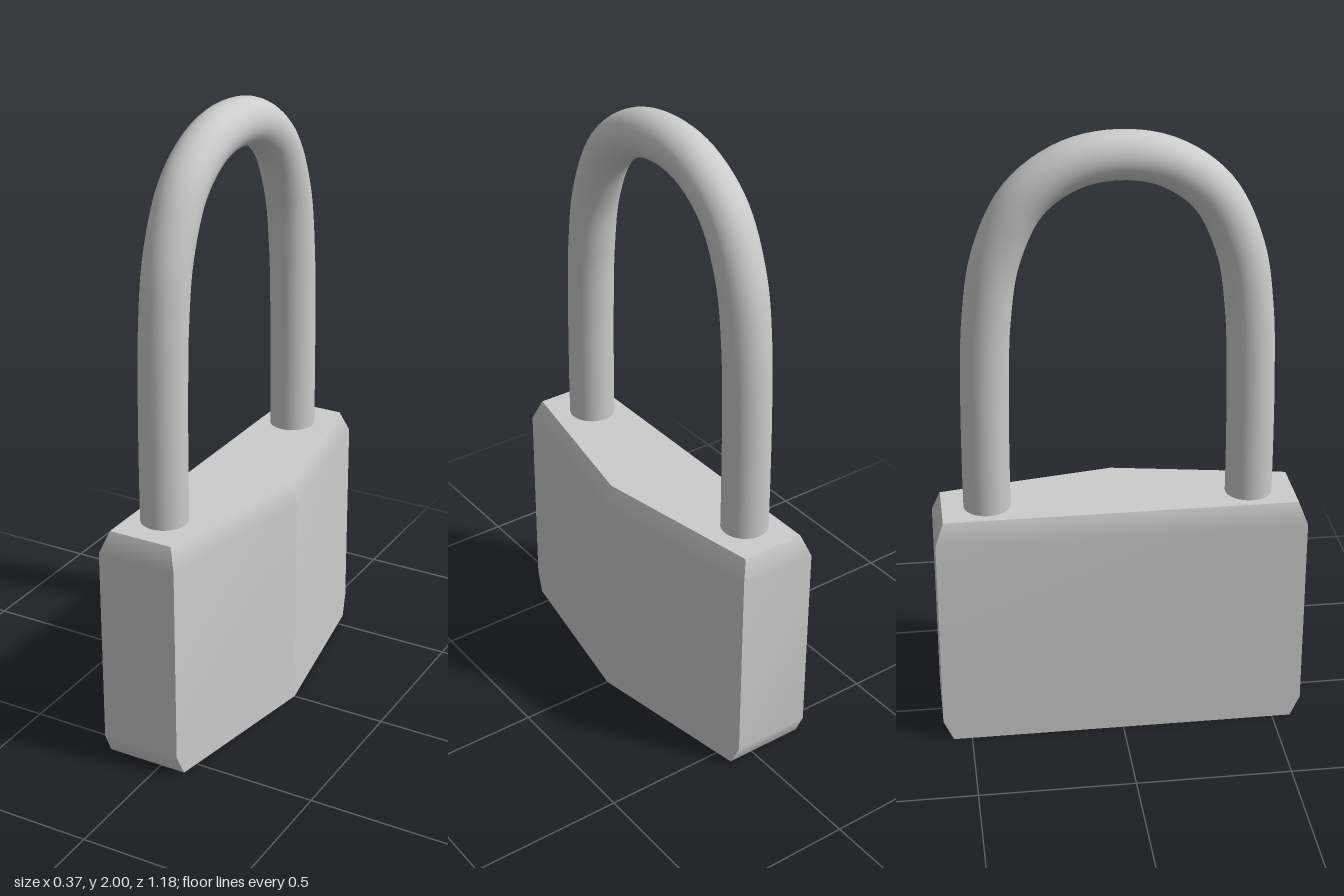
import * as THREE from 'three';

const grey = new THREE.MeshStandardMaterial({ color: 0xcccccc });
const greyDouble = new THREE.MeshStandardMaterial({ color: 0xcccccc, side: THREE.DoubleSide });

// Five-sided outlines of the case as [x, z], from the bottom up
const outline = (back, shoulder, ridge, end) =>
  [[back, end], [shoulder, end], [ridge, 0], [shoulder, -end], [back, -end]];
const rings = [
  { y: 0, pts: outline(-0.185, 0.085, 0.182, 0.56) },
  { y: 0.07, pts: outline(-0.185, 0.078, 0.182, 0.592) },
  { y: 0.72, pts: outline(-0.185, 0.078, 0.182, 0.592) },
  { y: 0.79, pts: outline(-0.16, 0.053, 0.156, 0.565) },
];

function mesh(name, geometry, material = grey) {
  const m = new THREE.Mesh(geometry, material);
  m.name = name;
  return m;
}

// One side of the case, smooth from chamfer to chamfer
function sideStrip(i) {
  const pos = [], index = [];
  rings.forEach(({ y, pts }, r) => {
    const p = pts[i], q = pts[(i + 1) % 5];
    pos.push(p[0], y, p[1], q[0], y, q[1]);
    if (r > 0) {
      const a = 2 * (r - 1);
      index.push(a, a + 1, a + 3, a, a + 3, a + 2);
    }
  });
  const g = new THREE.BufferGeometry();
  g.setAttribute('position', new THREE.Float32BufferAttribute(pos, 3));
  g.setIndex(index);
  g.computeVertexNormals();
  return g;
}

// Regular polygon with its first corner along z, as [x, z] points
function polygon(radius, sides, z = 0) {
  return Array.from({ length: sides }, (_, i) => {
    const a = (i / sides) * Math.PI * 2;
    return new THREE.Vector2(radius * Math.sin(a), z + radius * Math.cos(a));
  });
}

// Flat face looking down at height y, with optional holes
function downFace(points, y, holes = []) {
  const shape = new THREE.Shape(points);
  holes.forEach((h) => shape.holes.push(new THREE.Path(h)));
  return new THREE.ShapeGeometry(shape).rotateX(Math.PI / 2).translate(0, y, 0);
}

// Inner wall of a recess between two heights
function recessWall(radius, sides, y0, y1, z = 0) {
  let g = new THREE.CylinderGeometry(radius, radius, y1 - y0, sides, 1, true);
  if (sides < 8) {
    g = g.toNonIndexed();
    g.computeVertexNormals();
  }
  return g.translate(0, (y0 + y1) / 2, z);
}

export function createModel() {
  const model = new THREE.Group();
  model.name = 'padlock';

  // Case
  const body = new THREE.Group();
  body.name = 'case';
  for (let i = 0; i < 5; i++) body.add(mesh('caseSide', sideStrip(i)));
  const topShape = new THREE.Shape(rings[3].pts.map(([x, z]) => new THREE.Vector2(x, -z)));
  body.add(mesh('caseTop', new THREE.ShapeGeometry(topShape).rotateX(-Math.PI / 2).translate(0, 0.79, 0)));

  // Underside with lock recess and drain hole
  const hex = polygon(0.13, 6);
  const round = polygon(0.075, 32);
  const drain = polygon(0.018, 16, -0.33);
  const base = rings[0].pts.map(([x, z]) => new THREE.Vector2(x, z));
  body.add(mesh('caseBottom', downFace(base, 0, [hex, drain])));
  body.add(mesh('drainWall', recessWall(0.018, 16, 0, 0.05, -0.33), greyDouble));
  body.add(mesh('drainFloor', downFace(drain, 0.05)));
  model.add(body);

  // Lock cylinder set in a hexagonal seat, with a key slot
  const lock = new THREE.Group();
  lock.name = 'lockCylinder';
  const slot = [[-0.01, -0.05], [0.01, -0.05], [0.01, 0.05], [-0.01, 0.05]]
    .map(([x, z]) => new THREE.Vector2(x, z));
  lock.add(mesh('hexWall', recessWall(0.13, 6, 0, 0.01), greyDouble));
  lock.add(mesh('hexFloor', downFace(hex, 0.01, [round])));
  lock.add(mesh('plugWall', recessWall(0.075, 32, 0.01, 0.05), greyDouble));
  lock.add(mesh('plugFace', downFace(round, 0.05, [slot])));
  const slotBox = mesh('keySlot', new THREE.BoxGeometry(0.02, 0.06, 0.1), greyDouble);
  slotBox.position.y = 0.081;
  lock.add(slotBox);
  model.add(lock);

  // Shackle: half path mirrored across z
  const half = [[0.42, 0.74], [0.42, 0.95], [0.416, 1.2], [0.405, 1.42], [0.372, 1.62], [0.285, 1.8], [0.15, 1.898]];
  const path = [
    ...half.map(([z, y]) => new THREE.Vector3(-0.055, y, z)),
    new THREE.Vector3(-0.055, 1.926, 0),
    ...half.map(([z, y]) => new THREE.Vector3(-0.055, y, -z)).reverse(),
  ];
  const curve = new THREE.CatmullRomCurve3(path, false, 'centripetal');
  model.add(mesh('shackle', new THREE.TubeGeometry(curve, 96, 0.075, 32, false)));

  return model;
}
